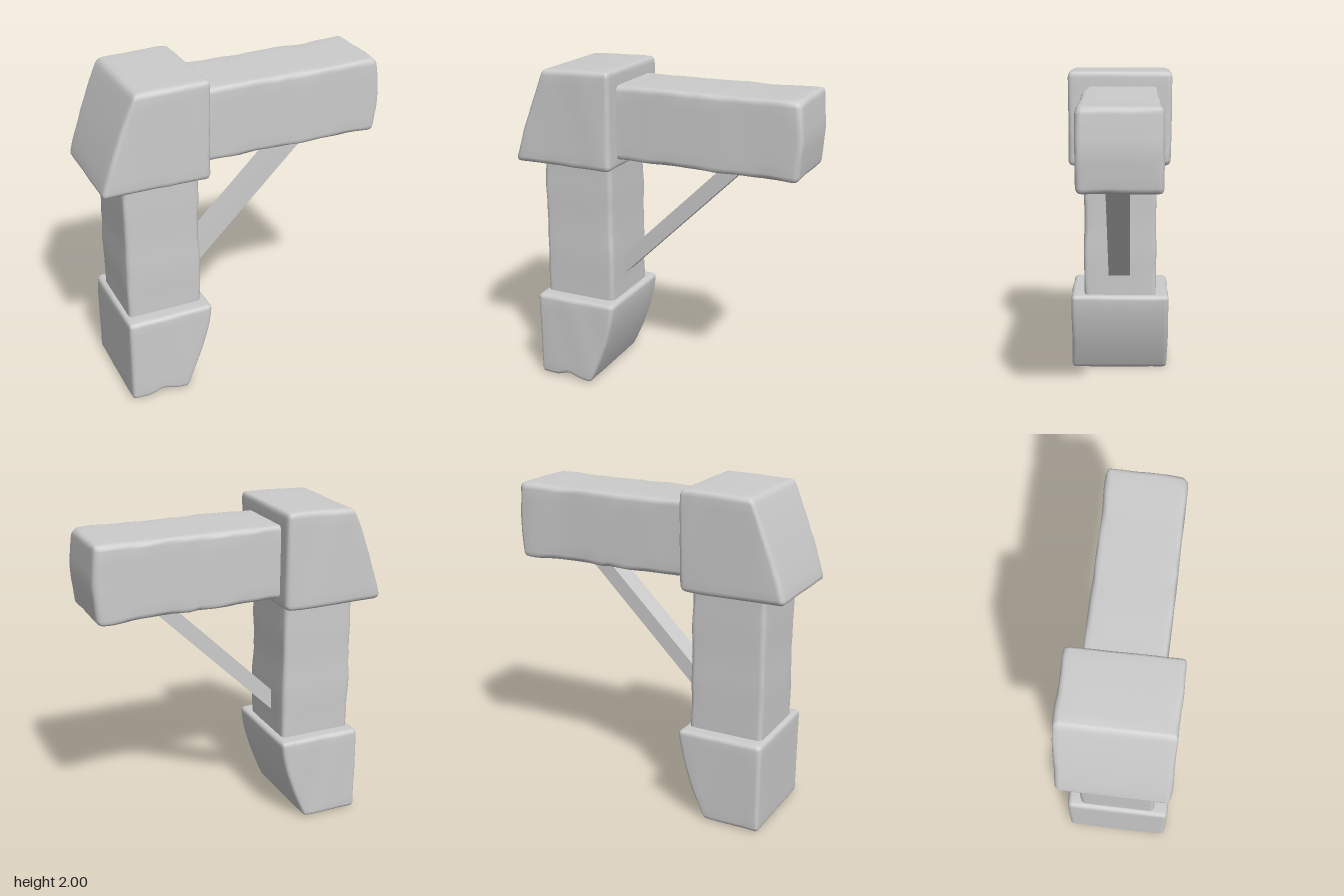
import * as THREE from 'three';
import { mergeVertices } from 'three/addons/utils/BufferGeometryUtils.js';

const material = new THREE.MeshStandardMaterial({ color: 0xcccccc });

// Smooth repeatable wobble used for the hand-hewn surfaces
const wobble = (a, b) => Math.sin(a * 11 + b * 3) * 0.6 + Math.sin(a * 27 + b * 7) * 0.4;

// Maps an even grid coordinate (-0.5..0.5) so two rows of cells lie in the rounded edge
function edgeSpacing(u, n, size, r) {
  const i = Math.round((u + 0.5) * n);
  const half = size / 2;
  if (i <= 2) return -half + (r * i) / 2;
  if (i >= n - 2) return half - (r * (n - i)) / 2;
  return -half + r + ((size - 2 * r) * (i - 2)) / (n - 4);
}

// Rounded, subdivided block between two corners; chip varies the edge radius, warp reshapes it
function hewnBlock(name, min, max, r, segs, chip, warp) {
  const size = max.map((m, i) => m - min[i]);
  const mid = max.map((m, i) => (m + min[i]) / 2);
  const geo = new THREE.BoxGeometry(1, 1, 1, ...segs);
  const pos = geo.attributes.position;
  const p = new THREE.Vector3(), core = new THREE.Vector3();
  for (let i = 0; i < pos.count; i++) {
    p.fromBufferAttribute(pos, i);
    const q = p.toArray().map((u, k) => edgeSpacing(u, segs[k], size[k], r));
    p.fromArray(q);
    // worn edges: the radius swells and shrinks along the block
    const corner = Math.sign(q[0]) + Math.sign(q[1]) * 2 + Math.sign(q[2]) * 4;
    const rad = r * (1 + chip * wobble(q[0] + q[1] + q[2], corner));
    core.fromArray(q.map((v, k) => THREE.MathUtils.clamp(v, rad - size[k] / 2, size[k] / 2 - rad)));
    p.sub(core);
    if (p.length() > rad) p.setLength(rad);
    p.add(core);
    p.set(p.x + mid[0], p.y + mid[1], p.z + mid[2]);
    if (warp) warp(p);
    pos.setXYZ(i, p.x, p.y, p.z);
  }
  geo.deleteAttribute('normal');
  geo.deleteAttribute('uv');
  const smooth = mergeVertices(geo, 1e-4);
  smooth.computeVertexNormals();
  const mesh = new THREE.Mesh(smooth, material);
  mesh.name = name;
  return mesh;
}

export function createModel() {
  const group = new THREE.Group();
  group.name = 'bracketedPost';

  // Upright post, slightly uneven along its height
  group.add(hewnBlock('post', [-0.745, 0.5, -0.235], [-0.285, 1.5, 0.23], 0.03, [10, 24, 10], 0.4, (p) => {
    const s = 1 + 0.012 * wobble(p.y * 0.6, 1);
    p.x = -0.515 + (p.x + 0.515) * s;
    p.z *= s;
  }));

  // Horizontal beam, flaring a little at its free end, with a crowned end face
  group.add(hewnBlock('beam', [-0.35, 1.465, -0.235], [0.88, 1.912, 0.22], 0.035, [28, 10, 10], 0.4, (p) => {
    const flare = THREE.MathUtils.smoothstep(p.x, 0.45, 0.84);
    const s = 1 + 0.035 * flare + 0.01 * wobble(p.x * 0.6, 2);
    p.y = 1.688 + (p.y - 1.688) * s;
    p.z = p.z * s - 0.006 * flare;
    if (p.x > 0.8) p.x += 0.01 - 0.02 * Math.abs(p.y - 1.69) / 0.24;
  }));

  // Top cap: outer side sweeps inwards towards the top
  group.add(hewnBlock('topCap', [-0.89, 1.41, -0.325], [-0.245, 2, 0.32], 0.035, [12, 14, 12], 0.25, (p) => {
    const t = THREE.MathUtils.clamp((p.y - 1.41) / 0.59, 0, 1);
    const k = (-0.245 - p.x) / 0.645;
    p.x += k * 0.21 * Math.pow(t, 1.2);
    p.y -= 0.012 * k * k * t;
    p.z += 0.004 * wobble(p.x, p.y);
  }));

  // Foot: inner side sweeps back under, with a shallow nick in the lower front edge
  group.add(hewnBlock('foot', [-0.775, 0, -0.317], [-0.245, 0.555, 0.317], 0.03, [14, 14, 12], 0.25, (p) => {
    const t = THREE.MathUtils.clamp(1 - p.y / 0.555, 0, 1);
    const k = (p.x + 0.775) / 0.53;
    p.x -= k * 0.17 * Math.pow(t, 1.6);
    const nick = Math.exp(-(((p.x + 0.57) / 0.06) ** 2)) * THREE.MathUtils.smoothstep(p.z, 0.05, 0.3);
    p.y += 0.03 * nick * t * t;
    p.z += 0.004 * wobble(p.x, p.y);
  }));

  // Diagonal brace between post and beam
  const outline = new THREE.Shape([[-0.3, 0.67], [0.54, 1.5], [0.41, 1.5], [-0.3, 0.8]].map((c) => new THREE.Vector2(...c)));
  const braceGeo = new THREE.ExtrudeGeometry(outline, { depth: 0.14, bevelEnabled: false });
  braceGeo.translate(0, 0, -0.068);
  const brace = new THREE.Mesh(braceGeo, material);
  brace.name = 'brace';
  group.add(brace);

  return group;
}
